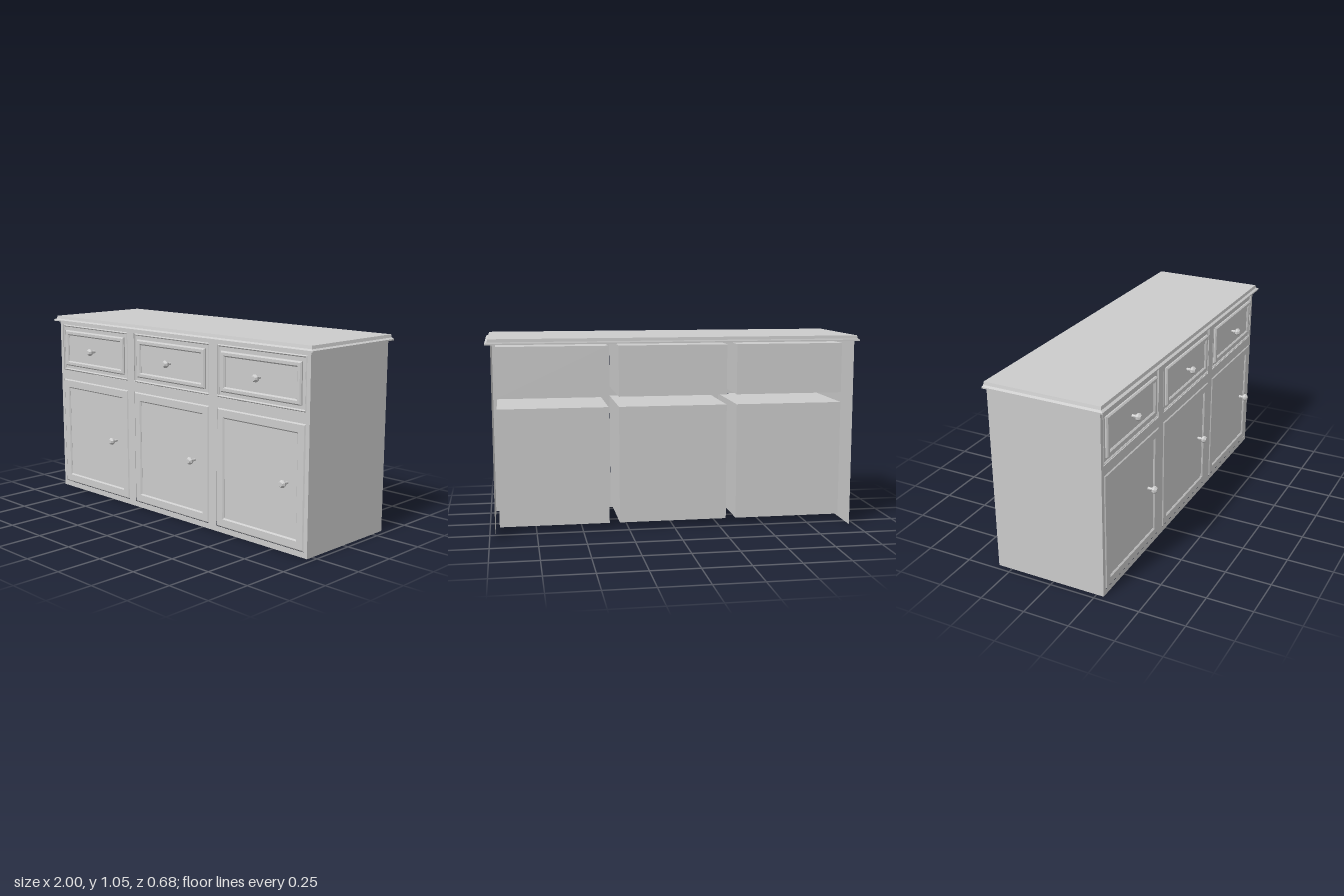
import * as THREE from 'three';

const mat = new THREE.MeshStandardMaterial({ color: 0xcccccc, flatShading: true });
const sheetMat = new THREE.MeshStandardMaterial({ color: 0xcccccc, flatShading: true, side: THREE.DoubleSide });

const FRONT = 0.29, BACK = -0.33, BOX_BACK = -0.2;
const HALF_CELL = 0.297;
const columns = [-0.65, 0, 0.65];
const drawerY = [0.725, 1.0], doorY = [0.03, 0.67];

function mesh(parent, name, geo, x = 0, y = 0, z = 0, m = mat) {
  const o = new THREE.Mesh(geo, m);
  o.name = name;
  o.position.set(x, y, z);
  parent.add(o);
  return o;
}

function rect(target, x0, x1, y0, y1) {
  target.moveTo(x0, y0);
  target.lineTo(x1, y0);
  target.lineTo(x1, y1);
  target.lineTo(x0, y1);
  target.closePath();
  return target;
}

function box(parent, name, x0, x1, y0, y1, z0, z1) {
  return mesh(parent, name, new THREE.BoxGeometry(x1 - x0, y1 - y0, z1 - z0),
    (x0 + x1) / 2, (y0 + y1) / 2, (z0 + z1) / 2);
}

// Rectangular moulding with chamfered edges, its front face at z = zFront
function moulding(parent, name, outer, inner, zFront, bevel, depth) {
  const shape = rect(new THREE.Shape(), ...outer);
  shape.holes.push(rect(new THREE.Path(), ...inner));
  const geo = new THREE.ExtrudeGeometry(shape, {
    depth, bevelEnabled: true, bevelSegments: 1,
    bevelSize: bevel, bevelThickness: bevel, bevelOffset: -bevel,
  });
  mesh(parent, name, geo, 0, 0, zFront - depth - bevel);
}

// Faceted knob on a short stem
function knob(parent, name, x, y, z) {
  const len = 0.34 - z;
  const profile = [[0.008, -0.004], [0.008, len - 0.03], [0.019, len - 0.024],
    [0.021, len - 0.012], [0.012, len], [0, len]].map(p => new THREE.Vector2(...p));
  const geo = new THREE.LatheGeometry(profile, 8);
  geo.rotateY(Math.PI / 8);
  geo.rotateX(Math.PI / 2);
  mesh(parent, name, geo, x, y, z);
}

// Worktop lofted through rectangular rings: [y, front and side inset, back inset]
function worktopGeometry() {
  const rings = [[1.02, 0, 0], [1.027, 0, 0], [1.034, 0.013, 0.002], [1.05, 0.017, 0.003]];
  const pos = [], idx = [];
  for (const [y, s, b] of rings) {
    const x = 1 - s, zf = 0.318 - s, zb = -0.337 + b;
    pos.push(-x, y, zf, x, y, zf, x, y, zb, -x, y, zb);
  }
  for (let r = 0; r < rings.length - 1; r++) {
    for (let i = 0; i < 4; i++) {
      const a = r * 4 + i, c = r * 4 + (i + 1) % 4;
      idx.push(a, c, c + 4, a, c + 4, a + 4);
    }
  }
  const t = (rings.length - 1) * 4;
  idx.push(t, t + 1, t + 2, t, t + 2, t + 3, 0, 2, 1, 0, 3, 2);
  const geo = new THREE.BufferGeometry();
  geo.setAttribute('position', new THREE.Float32BufferAttribute(pos, 3));
  geo.setIndex(idx);
  const flat = geo.toNonIndexed();
  flat.computeVertexNormals();
  return flat;
}

export function createModel() {
  const model = new THREE.Group();
  model.name = 'sideboard';

  mesh(model, 'worktop', worktopGeometry());

  // Thin side panels; the back stays open
  for (const s of [-1, 1]) {
    const side = new THREE.PlaneGeometry(FRONT - BACK, 1.02);
    side.rotateY(s * Math.PI / 2);
    mesh(model, 'sidePanel', side, s * 0.97, 0.51, (FRONT + BACK) / 2, sheetMat);
  }

  // Face frame with one opening per drawer and door
  const face = rect(new THREE.Shape(), -0.97, 0.97, 0, 1.02);
  for (const cx of columns) {
    for (const [y0, y1] of [drawerY, doorY]) {
      face.holes.push(rect(new THREE.Path(), cx - HALF_CELL, cx + HALF_CELL, y0, y1));
    }
  }
  mesh(model, 'faceFrame', new THREE.ShapeGeometry(face), 0, 0, FRONT, sheetMat);

  for (const cx of columns) {
    const x0 = cx - HALF_CELL, x1 = cx + HALF_CELL;

    // Drawer: deep box, sunk surround, raised front with a sunk centre
    const drawer = new THREE.Group();
    drawer.name = 'drawer';
    model.add(drawer);
    box(drawer, 'drawerBox', x0, x1, ...drawerY, BOX_BACK, 0.284);
    moulding(drawer, 'drawerSurround', [x0, x1, ...drawerY],
      [x0 + 0.012, x1 - 0.012, drawerY[0] + 0.012, drawerY[1] - 0.012], FRONT, 0.005, 0.002);
    moulding(drawer, 'drawerFront', [cx - 0.267, cx + 0.267, 0.755, 0.968],
      [cx - 0.238, cx + 0.238, 0.784, 0.939], 0.298, 0.007, 0.008);
    box(drawer, 'drawerPanel', cx - 0.24, cx + 0.24, 0.782, 0.941, 0.28, 0.289);
    knob(drawer, 'drawerKnob', cx, 0.861, 0.289);

    // Door: deep cupboard box, raised rails around a sunk panel
    const door = new THREE.Group();
    door.name = 'door';
    model.add(door);
    box(door, 'cupboardBox', x0, x1, ...doorY, BOX_BACK, 0.286);
    moulding(door, 'doorRails', [x0, x1, ...doorY],
      [cx - 0.245, cx + 0.245, 0.083, 0.617], 0.294, 0.007, 0.004);
    knob(door, 'doorKnob', cx + 0.185, 0.361, 0.286);
  }
  return model;
}
